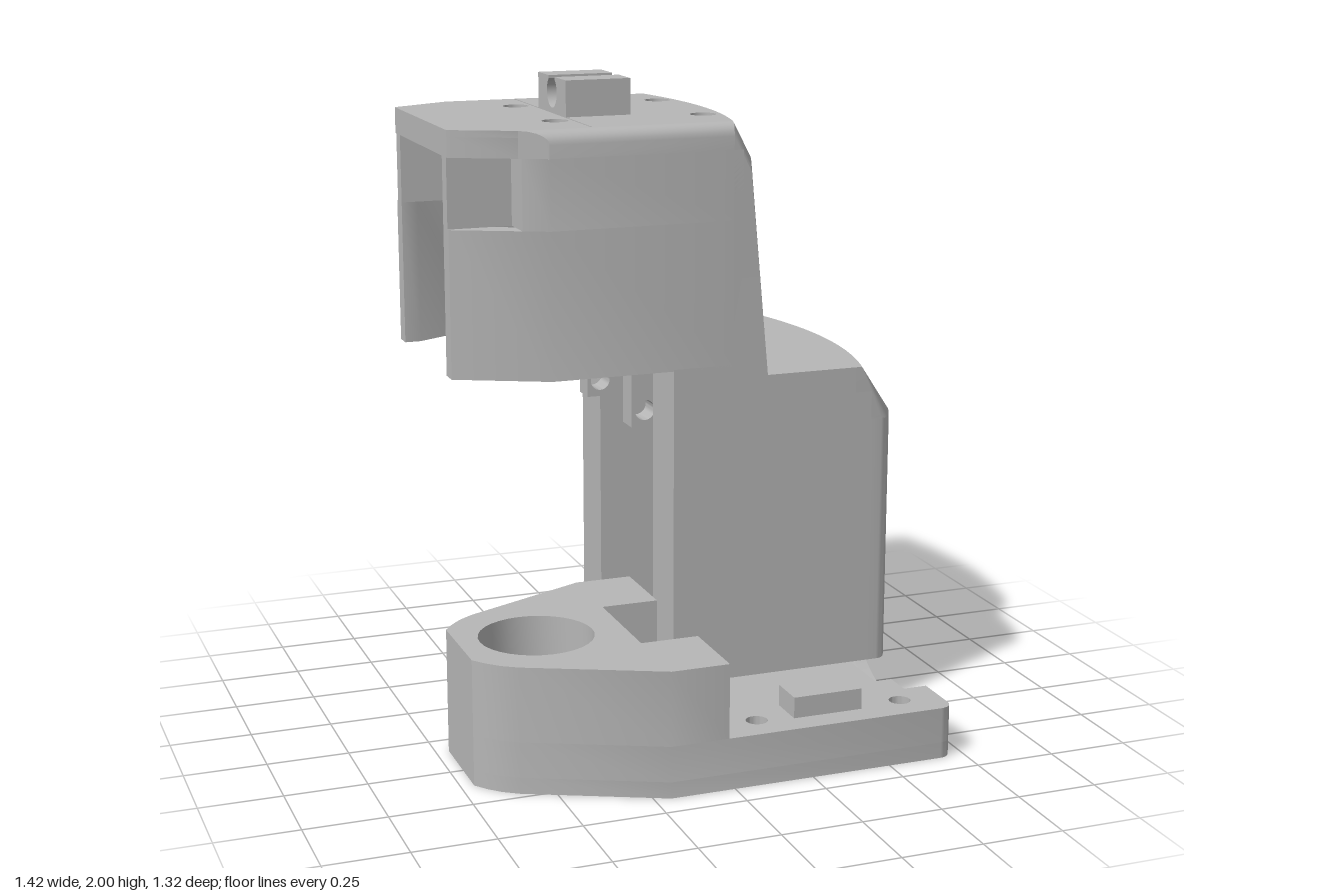
import * as THREE from 'three';
import { toCreasedNormals } from 'three/addons/utils/BufferGeometryUtils.js';

const grey = new THREE.MeshStandardMaterial({ color: 0xb6b6b6 });
grey.name = 'grey plastic';

const HALF = 0.43, R = 0.04, FLAT = HALF - R;

function add(group, name, geo) {
  const mesh = new THREE.Mesh(toCreasedNormals(geo, 0.6), grey);
  mesh.name = name;
  group.add(mesh);
}
const box = (x0, x1, y0, y1, z0, z1) =>
  new THREE.BoxGeometry(x1 - x0, y1 - y0, z1 - z0).translate((x0 + x1) / 2, (y0 + y1) / 2, (z0 + z1) / 2);

const V = ([x, y]) => new THREE.Vector2(x, y);
function arc(cx, cy, r, a0, a1, n = 24) {
  return Array.from({ length: n + 1 }, (_, i) => {
    const a = a0 + (a1 - a0) * i / n;
    return [cx + r * Math.cos(a), cy + r * Math.sin(a)];
  });
}
const circle = (x, y, r) => arc(x, y, r, 0, Math.PI * 2, 32).slice(0, -1);
const rect = (x0, x1, y0, y1) => [[x0, y0], [x1, y0], [x1, y1], [x0, y1]];

function extrude(pts, holes, depth) {
  const shape = new THREE.Shape(pts.map(V));
  holes.forEach(h => shape.holes.push(new THREE.Path(h.map(V))));
  return new THREE.ExtrudeGeometry(shape, { depth, bevelEnabled: false });
}
// plan outlines are [x, z]; section outlines are [z, y] and symmetric in z
const plan = (pts, holes, y0, y1) => extrude(pts, holes, y1 - y0).rotateX(Math.PI / 2).translate(0, y1, 0);
const section = (pts, holes, x0, x1) => extrude(pts, holes, x1 - x0).rotateY(Math.PI / 2).translate(x0, 0, 0);

// solid through convex x-y outlines placed along z
function loft(profile, zs) {
  const rings = zs.map(z => profile(z).map(([x, y]) => [x, y, z]));
  const out = [];
  const tri = (...p) => p.forEach(q => out.push(...q));
  const n = rings[0].length, last = rings[rings.length - 1];
  for (let i = 0; i < rings.length - 1; i++) for (let j = 0; j < n; j++) {
    const k = (j + 1) % n, A = rings[i], B = rings[i + 1];
    tri(A[j], A[k], B[k]);
    tri(A[j], B[k], B[j]);
  }
  for (let j = 1; j < n - 1; j++) {
    tri(rings[0][0], rings[0][j + 1], rings[0][j]);
    tri(last[0], last[j], last[j + 1]);
  }
  const g = new THREE.BufferGeometry();
  g.setAttribute('position', new THREE.Float32BufferAttribute(out, 3));
  g.computeVertexNormals();
  return g;
}

// stations across the width, finer at the rounded edges
const round = [0, 1, 2, 3, 4, 5].map(i => FLAT + R * Math.sin(i * Math.PI / 10));
const inner = Array.from({ length: 17 }, (_, i) => -FLAT + 2 * FLAT * i / 16);
const stations = [...round.slice(1).reverse().map(z => -z), ...inner, ...round.slice(1)];
const drop = z => R - Math.sqrt(Math.max(0, R * R - Math.max(0, Math.abs(z) - FLAT) ** 2));
const bulge = z => 1 - (z / HALF) ** 2;
const frontX = z => 0.17 + 0.06 * bulge(z);
const backX = z => -0.67 + 0.27 * Math.max(0, Math.abs(z) - 0.3) / 0.13;

function housing() {
  const g = new THREE.Group();
  g.name = 'housing';
  g.position.z = -0.23;

  // curved front wall of the head
  add(g, 'headFront', loft(z => {
    const f = frontX(z);
    return [[f, 1.12], [f + 0.115, 1.12], [f + 0.055, 1.785 - drop(z)], [f, 1.89 - drop(z)]];
  }, stations));

  // roof with countersunk screw holes and a thin seam
  const roof = [[backX(FLAT), -FLAT], [-0.67, -0.3], [-0.67, 0.3], [backX(FLAT), FLAT],
    ...inner.slice().reverse().map(z => [frontX(z), z])];
  const screws = r => [[-0.31, -0.2], [0.16, -0.2], [-0.31, 0.2], [0.16, 0.2]].map(([x, z]) => circle(x, z, r));
  const seam = rect(-0.259, -0.254, -0.38, 0.38);
  add(g, 'roofLower', plan(roof, [...screws(0.02), seam], 1.81, 1.87));
  add(g, 'roofUpper', plan(roof, [...screws(0.04), seam], 1.87, 1.89));

  for (const s of [-1, 1]) {
    const side = pts => pts.map(([x, z]) => [x, s * z]);
    const zs = s > 0 ? round : round.map(z => -z).reverse();
    add(g, 'roofEdge', loft(z => {
      const y = 1.89 - drop(z);
      return [[backX(z), 1.81], [frontX(z), 1.81], [frontX(z), y], [backX(z), y]];
    }, zs));
    // head walls, the upper part notched at the open end
    add(g, 'headWall', plan(side([[-0.67, 0.3], [-0.4, HALF], [0.2, HALF], [0.2, 0.37],
      [-0.38, 0.37], [-0.62, 0.245], [-0.67, 0.245]]), [], 1.155, 1.6));
    add(g, 'notchedWall', plan(side([[-0.67, 0.29], [-0.475, 0.29], [-0.475, 0.394], [-0.4, HALF], [0.2, HALF],
      [0.2, 0.37], [-0.38, 0.37], [-0.45, 0.245], [-0.67, 0.245]]), [], 1.6, 1.81));
    // column leg with socket and screw holes in its foot
    add(g, 'foot', plan(side([[-0.02, HALF], [0.635, HALF], [0.635, 0.225], [0.58, 0.225], [0.58, 0.25], [0.44, 0.25],
      [0.44, 0.35], [0.22, 0.35], [0.22, 0.25], [-0.02, 0.25]]),
      [circle(0.11, s * 0.325, 0.033), circle(0.58, s * 0.325, 0.033)], 0.16, 0.26));
    const [a, b] = s > 0 ? [0.25, HALF] : [-HALF, -0.25];
    add(g, 'leg', box(-0.02, 0.58, 0.26, 1.12, a, b));
    add(g, 'legTop', box(-0.02, 0.25, 1.12, 1.16, a, b));
    add(g, 'columnCorner', plan(side([[0.635, FLAT], ...arc(0.67, FLAT, R, 0, Math.PI / 2, 6), [0.635, HALF]]),
      [], 0.16, 0.952));
    // small drilled lug beside each leg
    const lug = extrude([[-0.09, 0.945], [0.05, 0.945], [0.05, 1.16], [-0.065, 1.16], [-0.065, 1.135], [-0.09, 1.135]],
      [circle(-0.047, 0.997, 0.032)], 0.08);
    add(g, 'lug', lug.translate(0, 0, s > 0 ? 0.17 : -0.25));
  }

  // column front with arched opening, flared outwards
  const arch = (w, r, y0, y1) => [[-w, y0], [-r, y0], ...arc(0, 0.46, r, Math.PI, 0, 32), [r, y0], [w, y0], [w, y1], [-w, y1]];
  const bolts = r => [-0.2, 0.2].map(z => circle(z, 0.915, r));
  add(g, 'archInner', section(arch(HALF, 0.225, 0.26, 1.04), bolts(0.02), 0.58, 0.635));
  const flare = section(arch(FLAT, 0.3, 0.16, 0.952), bolts(0.035), 0.635, 0.71);
  const p = flare.attributes.position;
  for (let i = 0; i < p.count; i++) {
    if (p.getX(i) > 0.65) continue;
    const z = p.getZ(i), h = Math.max(0, p.getY(i) - 0.46);
    if (Math.abs(Math.hypot(z, h) - 0.3) > 0.002) continue;
    p.setZ(i, z * 0.75);
    if (h > 0) p.setY(i, 0.46 + h * 0.75);
  }
  flare.computeVertexNormals();
  add(g, 'archFlare', flare);

  // shoulder with a curved chamfer
  add(g, 'shoulder', loft(z => {
    const b = bulge(z), x = 0.71 - drop(z);
    return [[0.22, 1.04], [0.58, 0.95], [x, 0.95], [x, 0.953 + 0.1 * b], [0.6 + 0.065 * b, 1.12], [0.22, 1.12]];
  }, stations));

  // clip block with a keyhole groove
  const a = Math.asin(0.03 / 0.048);
  add(g, 'clip', section([[-0.135, 1.885], [0.135, 1.885], [0.135, 2], [0.03, 2],
    ...arc(0, 1.953, 0.048, Math.PI / 2 - a, a - Math.PI * 1.5, 28), [-0.03, 2], [-0.135, 2]], [], -0.255, -0.05));
  return g;
}

function base() {
  const g = new THREE.Group();
  g.name = 'base';
  g.position.z = 0.23;

  // lower plate with tapered end, slot, screw holes and a gap for the cradle
  const back = [[-0.2, HALF], [-0.6, 0.245], [-0.645, 0.215], [-0.68, 0.18], [-0.71, 0.14]];
  const tail = [...back, ...back.slice().reverse().map(([x, z]) => [x, -z])];
  const outline = [...tail, ...arc(0.67, -FLAT, R, -Math.PI / 2, 0, 6), [0.71, -0.245], [0.58, -0.245],
    [0.58, 0.245], [0.71, 0.245], ...arc(0.67, FLAT, R, 0, Math.PI / 2, 6)];
  const holes = [rect(-0.165, -0.02, -0.175, 0.175)];
  for (const x of [0.11, 0.58]) for (const z of [-0.325, 0.325]) holes.push(circle(x, z, 0.033));
  const pocket = circle(-0.47, 0, 0.175);
  add(g, 'basePlate', plan(outline, holes, 0, 0.05));
  add(g, 'basePlateUpper', plan(outline, [...holes, pocket], 0.05, 0.16));

  // raised end with round pocket and open slot
  add(g, 'raisedEnd', plan([...tail, [-0.02, -HALF], [-0.02, -0.175], [-0.2, -0.175], [-0.2, 0.175],
    [-0.02, 0.175], [-0.02, HALF]], [pocket], 0.16, 0.39));
  add(g, 'slotLedge', box(-0.2, -0.165, 0.16, 0.25, -0.175, 0.175));

  // stepped round cradle
  const cradle = (r, cy, x0, x1) => {
    const t = Math.acos((cy - 0.16) / r);
    return section([[-0.245, 0], [0.245, 0], [0.245, 0.16],
      ...arc(0, cy, r, t - Math.PI / 2, -t - Math.PI / 2), [-0.245, 0.16]], [], x0, x1);
  };
  add(g, 'cradleInner', cradle(0.225, 0.323, 0.58, 0.635));
  add(g, 'cradleOuter', cradle(0.3, 0.335, 0.635, 0.71));

  // locating pegs
  for (const z of [-0.293, 0.293]) add(g, 'peg', box(0.22, 0.44, 0.15, 0.225, z - 0.057, z + 0.057));
  return g;
}

export function createModel() {
  const model = new THREE.Group();
  model.name = 'housingAndBase';
  model.add(housing(), base());
  return model;
}
